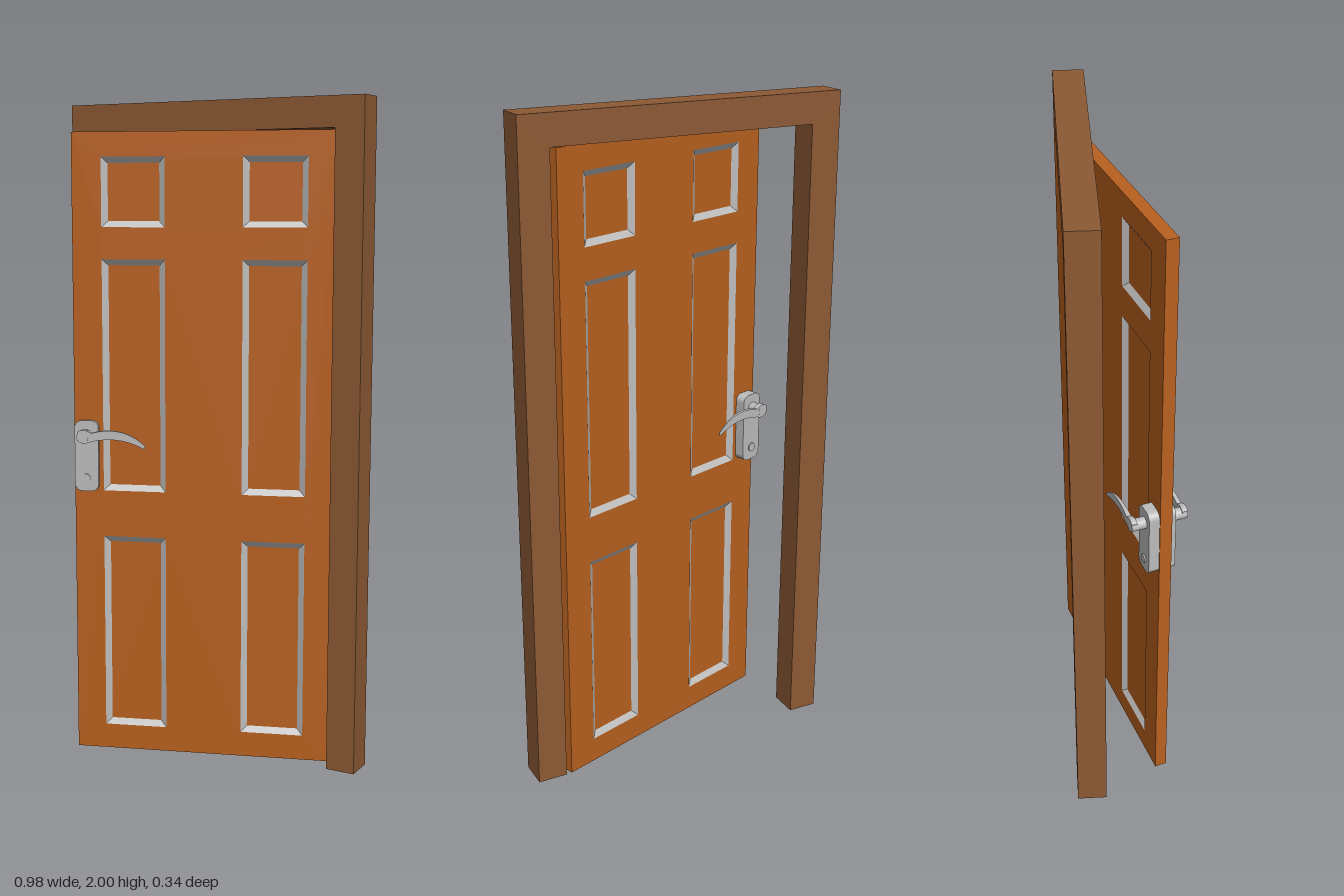
import * as THREE from 'three';

const paint = (name, color) => {
  const m = new THREE.MeshStandardMaterial({ color });
  m.name = name;
  return m;
};

function polygon(points) {
  return new THREE.Shape(points.map(([x, y]) => new THREE.Vector2(x, y)));
}

function add(parent, name, geometry, material, x = 0, y = 0, z = 0) {
  const mesh = new THREE.Mesh(geometry, material);
  mesh.name = name;
  mesh.position.set(x, y, z);
  parent.add(mesh);
  return mesh;
}

// Four sloping faces between an outer and an inner rectangle set deeper by d.
function bevelRing(w, h, b, d) {
  const rect = (x, y, z) => [[-x, -y, z], [x, -y, z], [x, y, z], [-x, y, z]];
  const outer = rect(w / 2, h / 2, 0), inner = rect(w / 2 - b, h / 2 - b, -d);
  const pos = [];
  for (let i = 0; i < 4; i++) {
    const j = (i + 1) % 4;
    pos.push(...outer[i], ...outer[j], ...inner[j], ...outer[i], ...inner[j], ...inner[i]);
  }
  const g = new THREE.BufferGeometry();
  g.setAttribute('position', new THREE.Float32BufferAttribute(pos, 3));
  g.computeVertexNormals();
  return g;
}

// Backplate outline with rounded corners.
function roundedRect(x0, x1, y0, y1, r) {
  const s = new THREE.Shape();
  s.absarc(x1 - r, y0 + r, r, -Math.PI / 2, 0);
  s.absarc(x1 - r, y1 - r, r, 0, Math.PI / 2);
  s.absarc(x0 + r, y1 - r, r, Math.PI / 2, Math.PI);
  s.absarc(x0 + r, y0 + r, r, Math.PI, Math.PI * 1.5);
  s.closePath();
  return s;
}

export function createModel() {
  const frameWood = paint('frame wood', 0x8d5a35);
  const doorWood = paint('door wood', 0xb9611f);
  const metal = paint('grey metal', 0xbdbdbd);
  const model = new THREE.Group();
  model.name = 'doorway';

  // Fixed frame: two posts and a lintel
  const outline = polygon([[-0.49, 0], [-0.4, 0], [-0.4, 1.91], [0.4, 1.91], [0.4, 0], [0.49, 0], [0.49, 2], [-0.49, 2]]);
  add(model, 'doorFrame', new THREE.ExtrudeGeometry(outline, { depth: 0.09, bevelEnabled: false }), frameWood, 0, 0, -0.168);

  // Open leaf: local x runs from the latch edge to the hinge, front face at z = 0
  const W = 0.802, H = 1.908, T = 0.037, D = 0.012, B = 0.018;
  const door = new THREE.Group();
  door.name = 'door';
  door.position.set(-0.365, 0, 0.12);
  door.rotation.y = 0.323;
  model.add(door);

  const slab = polygon([[0, 0.003], [W, 0.003], [W, H], [0, H]]);
  for (const [x0, x1] of [[0.09, 0.283], [0.517, 0.709]]) {
    for (const [y0, y1] of [[0.08, 0.685], [0.828, 1.533], [1.628, 1.835]]) {
      const w = x1 - x0, h = y1 - y0, cx = (x0 + x1) / 2, cy = (y0 + y1) / 2;
      slab.holes.push(new THREE.Path([[x0, y0], [x0, y1], [x1, y1], [x1, y0]].map(p => new THREE.Vector2(...p))));
      // Sunken panel with a grey sloping moulding on both faces
      add(door, 'panel', new THREE.BoxGeometry(w, h, T - 2 * D), doorWood, cx, cy, -T / 2);
      const ring = bevelRing(w, h, B, D);
      add(door, 'frontMoulding', ring, metal, cx, cy, 0);
      add(door, 'backMoulding', ring, metal, cx, cy, -T).rotation.y = Math.PI;
    }
  }
  add(door, 'doorSlab', new THREE.ExtrudeGeometry(slab, { depth: T, bevelEnabled: false }), doorWood, 0, 0, -T);

  // Handle set, mirrored about its own centre plane
  const handle = new THREE.Group();
  handle.name = 'handleSet';
  handle.position.z = -0.028;
  door.add(handle);

  const plate = roundedRect(0.003, 0.077, 0.827, 1.045, 0.022);
  add(handle, 'backplates', new THREE.ExtrudeGeometry(plate, { depth: 0.082, bevelEnabled: false, curveSegments: 8 }), metal, 0, 0, -0.041);
  const rod = (name, r, len, y) => {
    const g = new THREE.CylinderGeometry(r, r, len, 24).rotateX(Math.PI / 2);
    add(handle, name, g, metal, 0.038, y, 0);
  };
  rod('spindle', 0.018, 0.171, 1.0);
  rod('keyCylinder', 0.014, 0.09, 0.867);

  // Curved lever, thinning towards its tip
  const lever = new THREE.Shape();
  lever.moveTo(0.022, 0.99);
  lever.quadraticCurveTo(0.04, 0.975, 0.06, 0.985);
  lever.quadraticCurveTo(0.15, 1.01, 0.228, 0.967);
  lever.quadraticCurveTo(0.234, 0.972, 0.228, 0.98);
  lever.quadraticCurveTo(0.16, 1.04, 0.065, 1.013);
  lever.quadraticCurveTo(0.04, 1.03, 0.022, 1.015);
  lever.closePath();
  const leverSide = (front) => {
    const g = new THREE.ExtrudeGeometry(lever, { depth: 1, bevelEnabled: false, curveSegments: 10 });
    const p = g.attributes.position;
    for (let i = 0; i < p.count; i++) {
      const t = THREE.MathUtils.clamp((p.getX(i) - 0.03) / 0.2, 0, 1);
      const near = 0.069 + 0.008 * t, far = 0.086 - 0.007 * t;
      const z = p.getZ(i);
      // The back lever swaps near and far so its faces keep facing outwards
      p.setZ(i, front ? near + (far - near) * z : -far + (far - near) * z);
    }
    g.computeVertexNormals();
    return g;
  };
  add(handle, 'frontLever', leverSide(true), metal);
  add(handle, 'backLever', leverSide(false), metal);

  return model;
}
